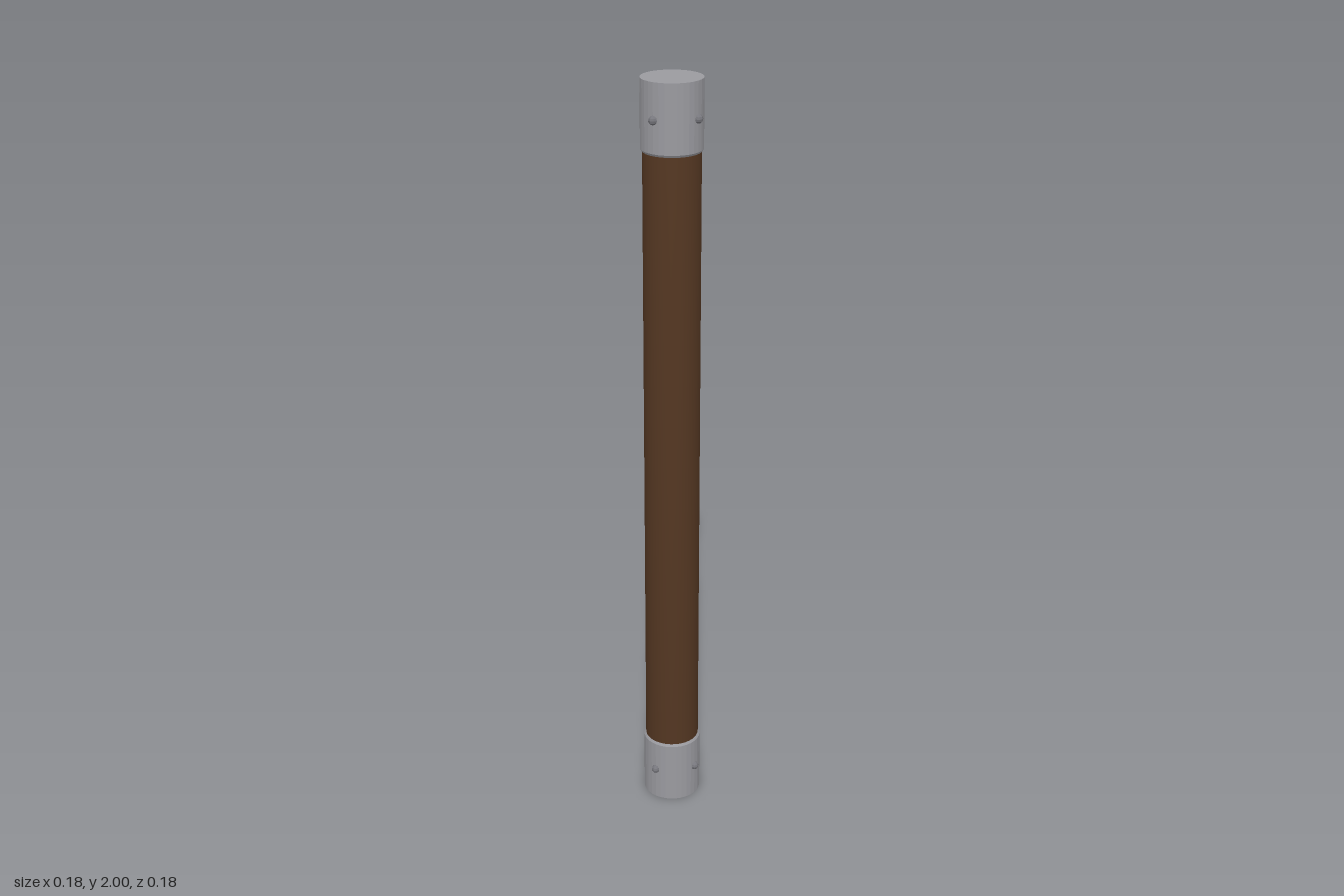
import * as THREE from 'three';

const SIDES = 32;
const steel = new THREE.MeshStandardMaterial({ color: 0x9a9a9f, flatShading: true });
steel.name = 'steel';
const darkSteel = new THREE.MeshStandardMaterial({ color: 0x77777d, flatShading: true });
darkSteel.name = 'dark steel';
const wood = new THREE.MeshStandardMaterial({ color: 0x543722 });
wood.name = 'dark wood';

function lathe(name, profile, material) {
  const points = profile.map(([r, y]) => new THREE.Vector2(r, y));
  const mesh = new THREE.Mesh(new THREE.LatheGeometry(points, SIDES), material);
  mesh.name = name;
  return mesh;
}

// Metal ferrule with a small chamfer on its inner rim and four rivets
function makeFerrule(name) {
  const group = new THREE.Group();
  group.name = name;
  group.add(lathe('ferruleSleeve',
    [[0, 0], [0.077, 0], [0.077, 0.171], [0.073, 0.177], [0, 0.177]], steel));
  const rivetGeometry = new THREE.SphereGeometry(0.0115, 8, 6);
  for (let i = 0; i < 4; i++) {
    const angle = i * Math.PI / 2;
    const rivet = new THREE.Mesh(rivetGeometry, darkSteel);
    rivet.name = 'rivet';
    rivet.position.set(Math.cos(angle) * 0.077, 0.09, Math.sin(angle) * 0.077);
    group.add(rivet);
  }
  return group;
}

export function createModel() {
  const model = new THREE.Group();
  model.name = 'ferruledPole';

  // Wooden shaft, smooth shaded right round its ends
  model.add(lathe('shaft', [[0, 0.1], [0.072, 0.1], [0.072, 1.9], [0, 1.9]], wood));

  // One ferrule at each end, the upper one turned over
  const lower = makeFerrule('lowerFerrule');
  const upper = makeFerrule('upperFerrule');
  upper.rotation.x = Math.PI;
  upper.position.y = 2;
  model.add(lower, upper);
  return model;
}
